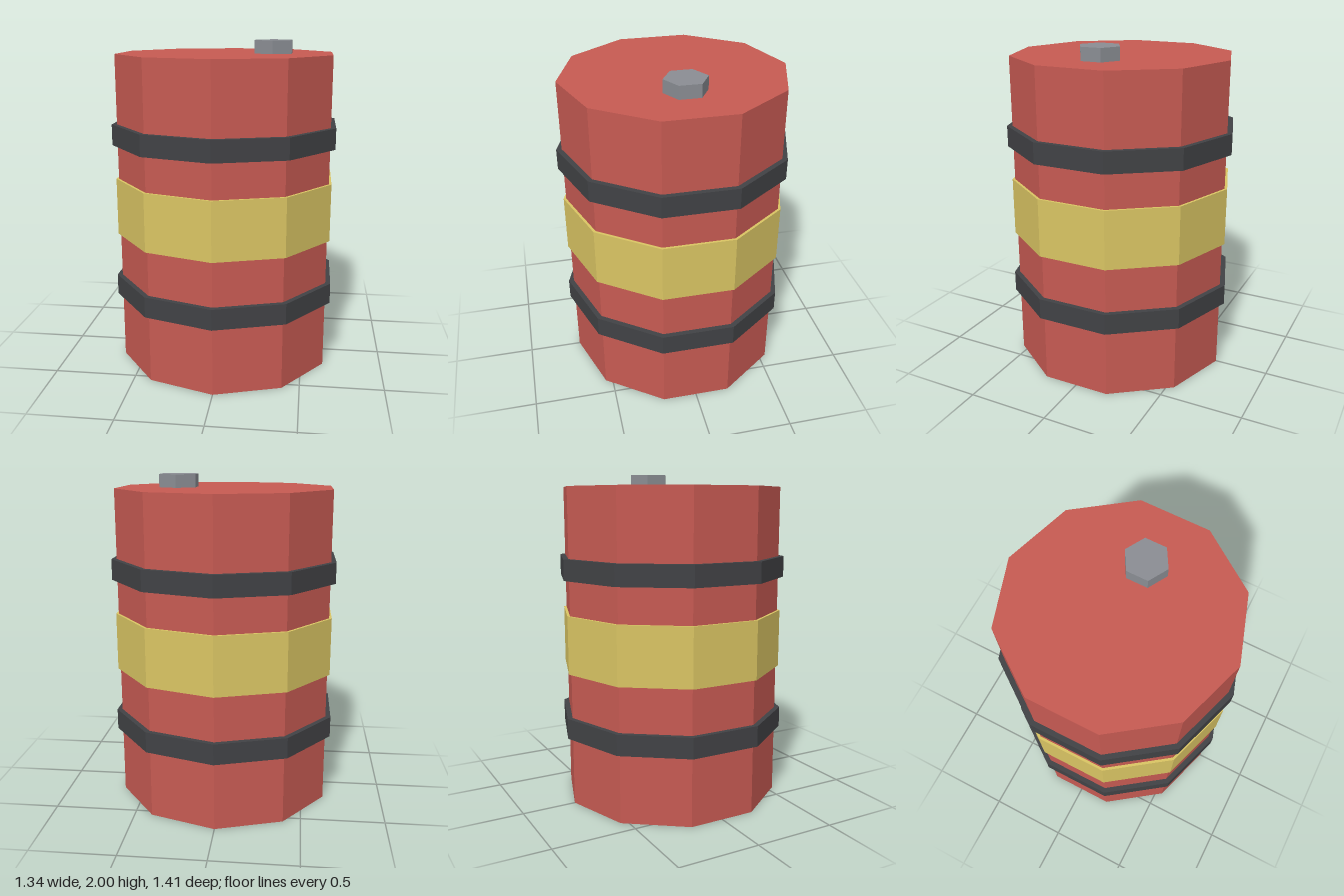
import * as THREE from 'three';

const material = (color) => new THREE.MeshStandardMaterial({ color, flatShading: true });

// Upright prism from height y0 to y1
function prism(name, radius, y0, y1, sides, mat, x = 0) {
  const mesh = new THREE.Mesh(new THREE.CylinderGeometry(radius, radius, y1 - y0, sides), mat);
  mesh.name = name;
  mesh.position.set(x, (y0 + y1) / 2, 0);
  return mesh;
}

export function createModel() {
  const barrel = new THREE.Group();
  barrel.name = 'barrel';
  const red = material(0xc65a52);
  const dark = material(0x414245);
  const yellow = material(0xd9c463);
  const grey = material(0x8a8d93);
  const sides = 10;

  // Drum body and the painted stripe round its middle
  barrel.add(prism('body', 0.672, 0, 1.922, sides, red));
  barrel.add(prism('stripe', 0.688, 0.818, 1.17, sides, yellow));

  // Two dark hoops
  [['lowerHoop', 0.42], ['upperHoop', 1.38]].forEach(([name, y]) => {
    barrel.add(prism(name, 0.704, y, y + 0.126, sides, dark));
  });

  // Hexagonal filler cap, off centre on the lid
  barrel.add(prism('fillerCap', 0.127, 1.91, 2, 6, grey, 0.287));

  return barrel;
}
